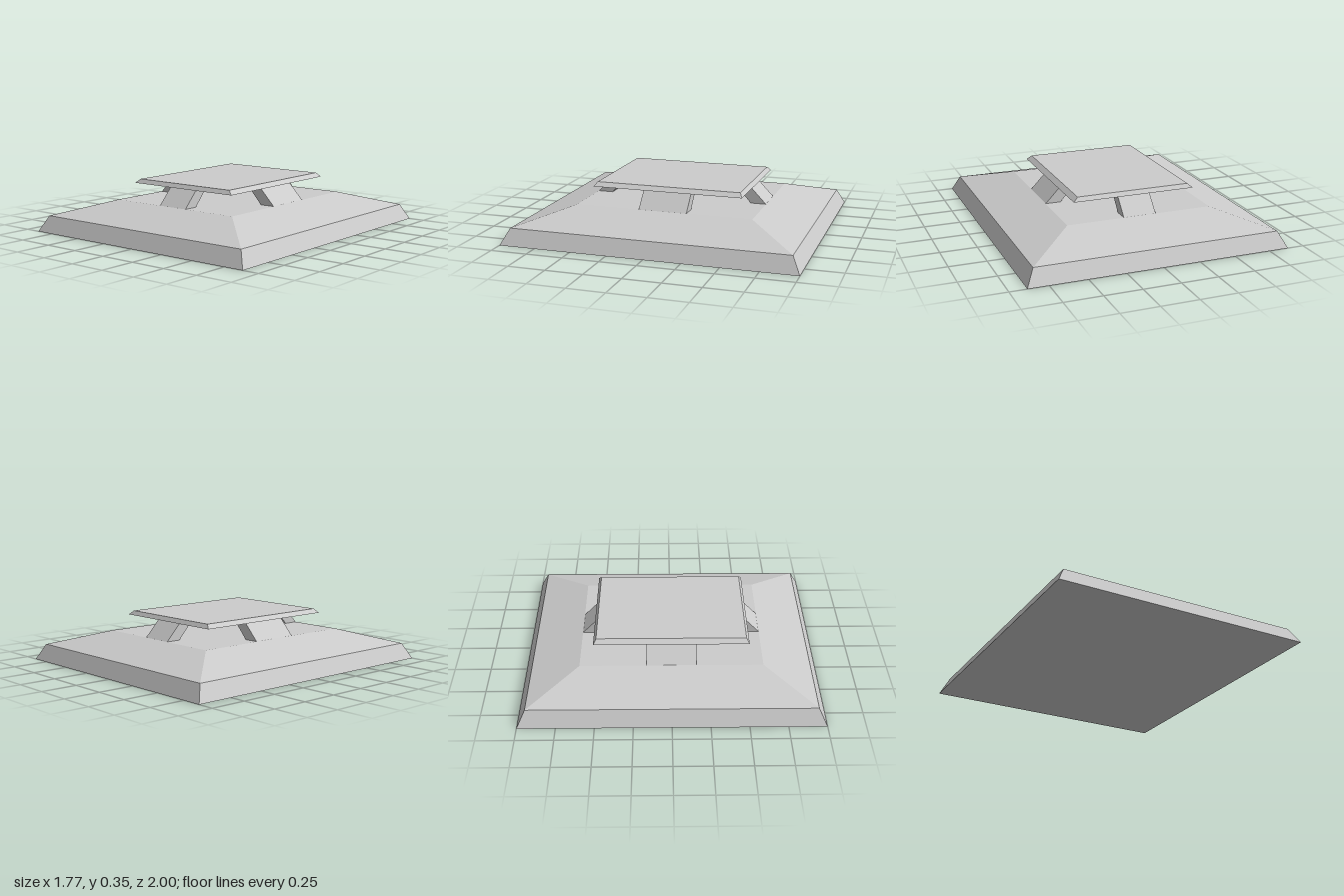
import * as THREE from 'three';

const material = new THREE.MeshStandardMaterial({ color: 0xcccccc, flatShading: true });

// Solid block whose top and bottom are rectangles { x: [min, max], z: [min, max] }
function block(name, y0, y1, bottom, top) {
  const geometry = new THREE.BoxGeometry(1, 1, 1);
  const p = geometry.attributes.position;
  for (let i = 0; i < p.count; i++) {
    const rect = p.getY(i) > 0 ? top : bottom;
    p.setXYZ(i, rect.x[p.getX(i) > 0 ? 1 : 0], p.getY(i) > 0 ? y1 : y0, rect.z[p.getZ(i) > 0 ? 1 : 0]);
  }
  geometry.computeVertexNormals();
  const mesh = new THREE.Mesh(geometry, material);
  mesh.name = name;
  return mesh;
}

// Rectangle centred on the axis, from its half sizes
const centred = (x, z) => ({ x: [-x, x], z: [-z, z] });

// Slanted post leaning inwards; built facing +z and then turned
function post(name, halfWidth, reach, angle) {
  const x = [-halfWidth, halfWidth];
  const mesh = block(name, 0.21, 0.325,
    { x, z: [reach - 0.105, reach] },
    { x, z: [reach - 0.21, reach - 0.11] });
  mesh.rotation.y = angle;
  return mesh;
}

export function createModel() {
  const model = new THREE.Group();
  model.name = 'ventCover';

  // Steep skirt with a shallow sloping roof on it
  const base = new THREE.Group();
  base.name = 'base';
  base.add(
    block('skirt', 0, 0.108, centred(0.887, 1), centred(0.832, 0.945)),
    block('slope', 0.108, 0.211, centred(0.832, 0.945), centred(0.5, 0.61)),
  );

  // One post in the middle of each side
  const posts = new THREE.Group();
  posts.name = 'posts';
  posts.add(
    post('frontPost', 0.112, 0.61, 0),
    post('leftPost', 0.166, 0.5, Math.PI / 2),
    post('backPost', 0.112, 0.61, Math.PI),
    post('rightPost', 0.166, 0.5, -Math.PI / 2),
  );

  // Raised lid with bevelled edges
  model.add(base, posts, block('cap', 0.324, 0.352, centred(0.422, 0.52), centred(0.39, 0.5)));
  return model;
}
